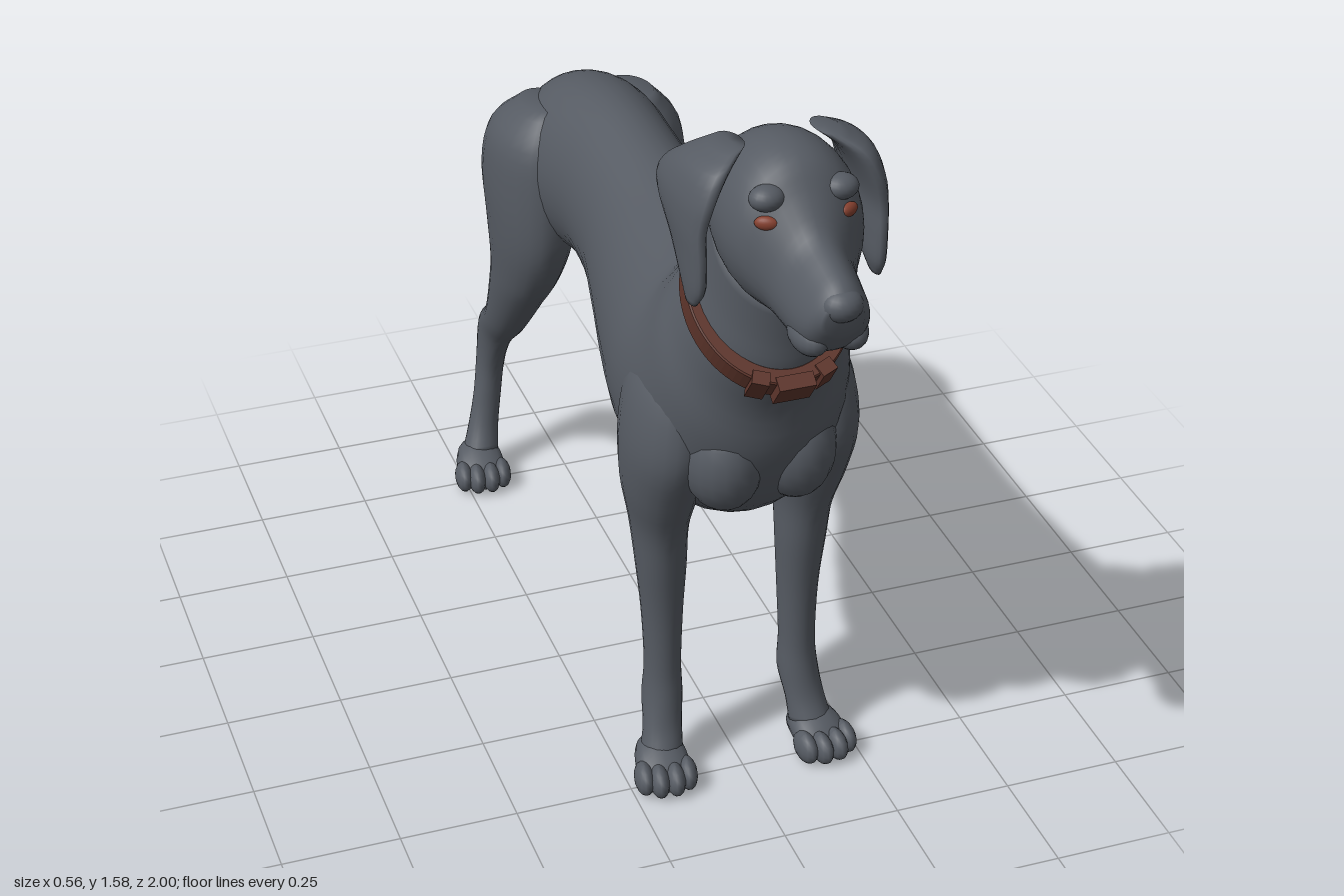
import * as THREE from 'three';

const coat = new THREE.MeshStandardMaterial({ color: 0x565b63 });
coat.name = 'slate grey coat';
const leather = new THREE.MeshStandardMaterial({ color: 0x5e352b });
leather.name = 'brown leather';
const iris = new THREE.MeshStandardMaterial({ color: 0x85402f });
iris.name = 'russet eye';

// Smooth loft. Each section is [z, y of one edge, z, y of opposite edge, half width, centre x, egg]
function loft(sections, sides = 24, steps = 4) {
  const curve = f => new THREE.CatmullRomCurve3(sections.map(f), false, 'catmullrom', 0.5);
  const a = curve(s => new THREE.Vector3(0, s[1], s[0]));
  const b = curve(s => new THREE.Vector3(0, s[3], s[2]));
  const c = curve(s => new THREE.Vector3(s[4], s[5] || 0, s[6] || 0));
  const rings = (sections.length - 1) * steps;
  const pos = [], idx = [];
  for (let i = 0; i <= rings; i++) {
    const t = i / rings, A = a.getPoint(t), B = b.getPoint(t), C = c.getPoint(t);
    for (let j = 0; j < sides; j++) {
      const q = j / sides * Math.PI * 2, k = Math.sin(q);
      pos.push(C.y + C.x * Math.cos(q) * (1 - C.z * k),
        (A.y + B.y) / 2 + (A.y - B.y) / 2 * k,
        (A.z + B.z) / 2 + (A.z - B.z) / 2 * k);
      if (i < rings) {
        const m = i * sides + j, n = i * sides + (j + 1) % sides;
        idx.push(m, n, n + sides, m, n + sides, m + sides);
      }
    }
  }
  // end caps
  for (const [i, t] of [[0, 0], [rings, 1]]) {
    const A = a.getPoint(t), B = b.getPoint(t), C = c.getPoint(t), centre = pos.length / 3;
    pos.push(C.y, (A.y + B.y) / 2, (A.z + B.z) / 2);
    for (let j = 0; j < sides; j++) {
      const m = i * sides + j, n = i * sides + (j + 1) % sides;
      idx.push(centre, ...(i ? [m, n] : [n, m]));
    }
  }
  // turn faces outward
  const p = i => new THREE.Vector3(pos[i * 3], pos[i * 3 + 1], pos[i * 3 + 2]);
  let volume = 0;
  for (let i = 0; i < idx.length; i += 3) volume += p(idx[i]).dot(p(idx[i + 1]).cross(p(idx[i + 2])));
  if (volume < 0) idx.reverse();
  const g = new THREE.BufferGeometry();
  g.setAttribute('position', new THREE.Float32BufferAttribute(pos, 3));
  g.setIndex(idx);
  g.computeVertexNormals();
  return g;
}

function add(parent, name, geometry, material = coat) {
  const mesh = new THREE.Mesh(geometry, material);
  mesh.name = name;
  parent.add(mesh);
  return mesh;
}

function blob(parent, name, x, y, z, rx, ry, rz, material = coat) {
  const m = add(parent, name, new THREE.SphereGeometry(1, 20, 14).scale(rx, ry, rz), material);
  m.position.set(x, y, z);
  return m;
}

// Foot with four toes, flat on the ground
function addPaw(parent, name, x, heel, side) {
  const paw = new THREE.Group();
  paw.name = name;
  paw.position.set(x * side, 0, heel);
  paw.rotation.y = side * 0.12;
  add(paw, 'pad', loft([
    [0, 0.05, 0, 0.004, 0.03], [0.02, 0.085, 0.01, 0, 0.045], [0.06, 0.085, 0.06, 0, 0.056],
    [0.1, 0.068, 0.1, 0, 0.056], [0.13, 0.045, 0.13, 0, 0.045]], 16));
  [-0.046, -0.017, 0.017, 0.046].forEach((tx, i) => {
    const g = new THREE.SphereGeometry(1, 14, 10).scale(0.021, 0.034, 0.042);
    const v = g.attributes.position;
    for (let k = 0; k < v.count; k++) v.setY(k, Math.max(-0.03, v.getY(k)));
    g.computeVertexNormals();
    add(paw, 'toe', g).position.set(tx, 0.03, i % 3 ? 0.124 : 0.108);
  });
  parent.add(paw);
}

export function createModel() {
  const dog = new THREE.Group();
  dog.name = 'dog';

  // trunk and neck, rump to throat
  add(dog, 'body', loft([
    [-0.735, 0.98, -0.735, 0.86, 0.03], [-0.71, 1.04, -0.71, 0.82, 0.085],
    [-0.65, 1.1, -0.65, 0.77, 0.13], [-0.55, 1.148, -0.55, 0.75, 0.16],
    [-0.42, 1.178, -0.42, 0.765, 0.158], [-0.28, 1.187, -0.28, 0.785, 0.145],
    [-0.13, 1.18, -0.13, 0.757, 0.147], [0, 1.172, 0, 0.692, 0.167],
    [0.15, 1.17, 0.15, 0.638, 0.198], [0.28, 1.177, 0.29, 0.606, 0.222],
    [0.355, 1.193, 0.43, 0.61, 0.225], [0.38, 1.215, 0.57, 0.7, 0.215],
    [0.405, 1.24, 0.65, 0.85, 0.197], [0.425, 1.27, 0.675, 0.98, 0.17],
    [0.45, 1.305, 0.725, 1.09, 0.145], [0.48, 1.36, 0.735, 1.17, 0.13],
    [0.53, 1.45, 0.745, 1.25, 0.12]], 36));

  // chest muscles
  for (const s of [1, -1]) blob(dog, 'breastMuscle', s * 0.075, 0.83, 0.555, 0.085, 0.12, 0.1);

  // skull and muzzle
  const head = new THREE.Group();
  head.name = 'head';
  dog.add(head);
  add(head, 'skull', loft([
    [0.495, 1.45, 0.55, 1.35, 0.06], [0.53, 1.52, 0.6, 1.28, 0.112],
    [0.6, 1.563, 0.67, 1.25, 0.135], [0.68, 1.577, 0.73, 1.245, 0.138],
    [0.75, 1.56, 0.775, 1.252, 0.124], [0.8, 1.508, 0.805, 1.25, 0.098, 0, 0.05],
    [0.85, 1.458, 0.84, 1.243, 0.078, 0, 0.15], [0.91, 1.435, 0.9, 1.247, 0.07, 0, 0.2],
    [0.96, 1.417, 0.945, 1.272, 0.06, 0, 0.2], [0.99, 1.392, 0.975, 1.315, 0.038, 0, 0.1]], 32));
  blob(head, 'nose', 0, 1.375, 0.965, 0.04, 0.032, 0.035);

  for (const s of [1, -1]) {
    blob(head, 'brow', s * 0.072, 1.505, 0.768, 0.035, 0.025, 0.03);
    blob(head, 'lip', s * 0.038, 1.288, 0.9, 0.036, 0.038, 0.06);
    const eye = blob(head, 'eye', s * 0.08, 1.465, 0.789, 0.023, 0.014, 0.012, iris);
    eye.rotation.y = s * 0.5;
    // hanging ear flap
    add(head, 'ear', loft([
      [0.68, 1.565, 0.58, 1.555, 0.025, s * 0.095], [0.72, 1.535, 0.545, 1.525, 0.034, s * 0.14],
      [0.732, 1.48, 0.5, 1.485, 0.032, s * 0.167], [0.728, 1.42, 0.487, 1.44, 0.027, s * 0.18],
      [0.73, 1.36, 0.56, 1.375, 0.023, s * 0.18], [0.725, 1.3, 0.615, 1.315, 0.019, s * 0.18],
      [0.7, 1.262, 0.655, 1.268, 0.01, s * 0.184]], 20));
  }

  // tilted neck band with buckle at the throat
  const collar = new THREE.Group();
  collar.name = 'collar';
  collar.position.set(0, 1.187, 0.583);
  collar.rotation.x = -0.915;
  const band = new THREE.Shape().absellipse(0, 0, 0.158, 0.193, 0, Math.PI * 2);
  band.holes.push(new THREE.Path().absellipse(0, 0, 0.135, 0.165, 0, Math.PI * 2));
  add(collar, 'band', new THREE.ExtrudeGeometry(band, {
    depth: 0.05, curveSegments: 40, bevelSize: 0.003, bevelThickness: 0.003, bevelSegments: 1
  }).translate(0, 0, -0.025), leather);
  add(collar, 'buckle', new THREE.BoxGeometry(0.075, 0.03, 0.062), leather).position.set(0, -0.192, 0);
  for (const s of [1, -1]) {
    const loop = add(collar, 'strapLoop', new THREE.BoxGeometry(0.035, 0.028, 0.066), leather);
    loop.position.set(s * 0.066, -0.174, 0);
    loop.rotation.z = s * 0.38;
  }
  dog.add(collar);

  // legs, mirrored
  for (const s of [1, -1]) {
    add(dog, 'frontLeg', loft([
      [0.54, 1.04, 0.37, 1.08, 0.04, s * 0.125], [0.575, 0.94, 0.33, 0.98, 0.075, s * 0.148],
      [0.585, 0.82, 0.31, 0.86, 0.086, s * 0.158], [0.535, 0.7, 0.31, 0.73, 0.078, s * 0.16],
      [0.49, 0.6, 0.325, 0.61, 0.06, s * 0.157], [0.47, 0.5, 0.35, 0.5, 0.053, s * 0.153],
      [0.455, 0.38, 0.362, 0.38, 0.044, s * 0.15], [0.453, 0.25, 0.37, 0.25, 0.039, s * 0.15],
      [0.46, 0.18, 0.368, 0.165, 0.043, s * 0.152], [0.475, 0.115, 0.405, 0.1, 0.042, s * 0.16],
      [0.5, 0.065, 0.412, 0.04, 0.046, s * 0.168]]));
    addPaw(dog, 'frontPaw', 0.166, 0.41, s);

    add(dog, 'hindLeg', loft([
      [-0.45, 1.11, -0.62, 1.09, 0.05, s * 0.1], [-0.4, 1.03, -0.7, 1.02, 0.092, s * 0.118],
      [-0.385, 0.91, -0.742, 0.92, 0.1, s * 0.125], [-0.395, 0.78, -0.722, 0.8, 0.09, s * 0.13],
      [-0.45, 0.67, -0.7, 0.69, 0.074, s * 0.138], [-0.52, 0.585, -0.715, 0.6, 0.061, s * 0.146],
      [-0.64, 0.455, -0.768, 0.49, 0.047, s * 0.15], [-0.735, 0.37, -0.865, 0.4, 0.037, s * 0.15],
      [-0.79, 0.28, -0.873, 0.31, 0.033, s * 0.155], [-0.795, 0.2, -0.853, 0.2, 0.033, s * 0.168],
      [-0.78, 0.13, -0.842, 0.1, 0.037, s * 0.185], [-0.75, 0.07, -0.832, 0.04, 0.044, s * 0.2]]));
    addPaw(dog, 'hindPaw', 0.2, -0.832, s);
  }

  // belly details
  add(dog, 'sheath', loft([
    [-0.12, 0.79, -0.13, 0.757, 0.02], [-0.2, 0.81, -0.22, 0.75, 0.035],
    [-0.29, 0.82, -0.3, 0.717, 0.04], [-0.37, 0.82, -0.37, 0.732, 0.035],
    [-0.44, 0.82, -0.44, 0.765, 0.02]], 16));
  for (const s of [1, -1]) blob(dog, 'groin', s * 0.022, 0.76, -0.62, 0.03, 0.045, 0.05);

  // curved tail
  add(dog, 'tail', loft([
    [-0.62, 1.11, -0.62, 1.03, 0.038], [-0.725, 1.055, -0.685, 1, 0.037],
    [-0.787, 0.965, -0.742, 0.94, 0.034], [-0.83, 0.91, -0.795, 0.873, 0.031],
    [-0.88, 0.876, -0.865, 0.82, 0.028], [-0.945, 0.853, -0.945, 0.803, 0.022],
    [-0.998, 0.852, -0.998, 0.828, 0.008]], 18));

  return dog;
}
